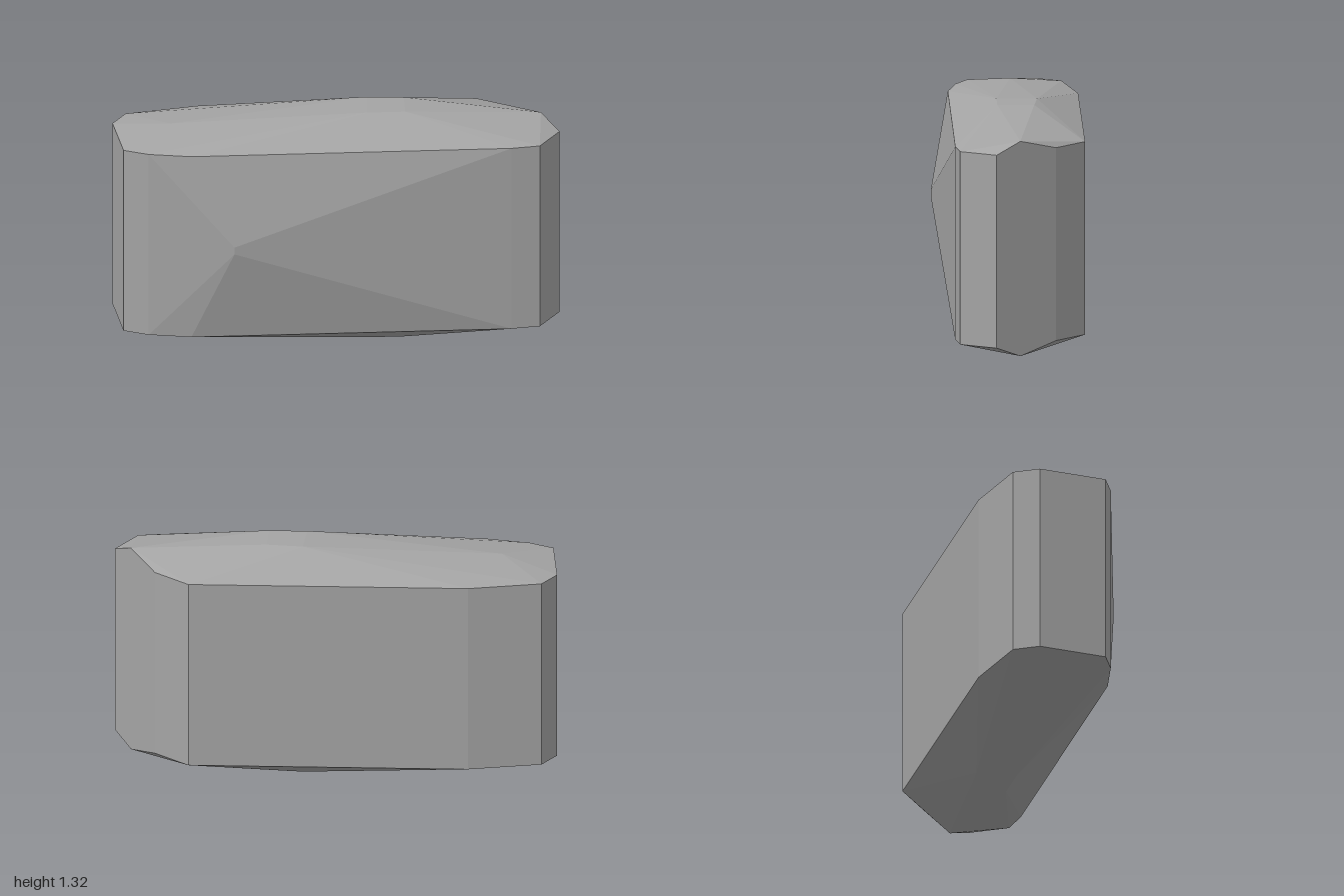
import * as THREE from 'three';
import { ConvexGeometry } from 'three/addons/geometries/ConvexGeometry.js';

// A faceted slab of stone, mirrored above and below its mid height.
const MID = 0.66;

export function createModel() {
  const group = new THREE.Group();
  group.name = 'stone';
  const stoneGrey = new THREE.MeshStandardMaterial({ color: 0xa4a4a4 });
  stoneGrey.name = 'stone grey';

  // Plan of the upright sides (x, z)
  const rim = [
    [-0.88, 0.67], [-0.82, 0.81], [-0.49, 1], [-0.36, 0.93], [-0.19, 0.77],
    [0.81, -0.65], [0.88, -0.79], [0.79, -1], [0.39, -1], [0.15, -0.94], [-0.72, 0.3],
  ];
  // Raised points of the shallow crown (x, z, height above the middle)
  const crown = [
    [-0.52, 0.65, 0.585], [0.63, -1, 0.59],
    [0, -0.3, 0.66], [0.17, -0.16, 0.66], [0.29, -0.33, 0.66], [0.13, -0.45, 0.66],
  ];

  const points = [];
  for (const side of [1, -1]) {
    for (const [x, z] of rim) points.push(new THREE.Vector3(x, MID + side * 0.53, z));
    for (const [x, z, h] of crown) points.push(new THREE.Vector3(x, MID + side * h, z));
    // Blunt peak on the broad front face
    points.push(new THREE.Vector3(0.02, MID + 0.01 + side * 0.02, 0.64));
  }

  const slab = new THREE.Mesh(new ConvexGeometry(points), stoneGrey);
  slab.name = 'stoneSlab';
  group.add(slab);
  return group;
}
